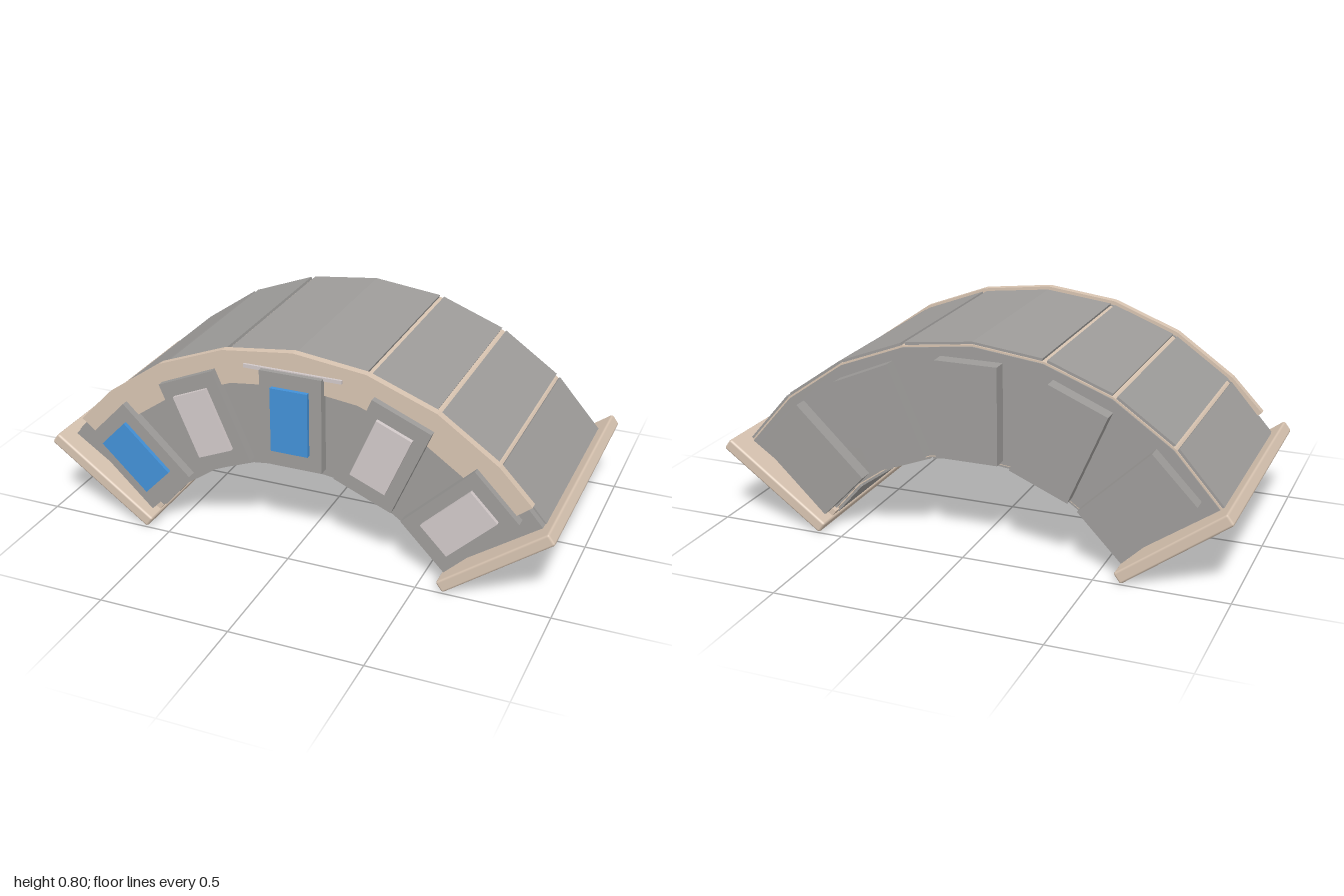
import * as THREE from 'three';
import { RoundedBoxGeometry } from 'three/addons/geometries/RoundedBoxGeometry.js';

const CENTRE_Y = -0.33; // centre of the arch's curvature
const RAD = Math.PI / 180;

function material(name, color) {
  const m = new THREE.MeshStandardMaterial({ color });
  m.name = name;
  return m;
}

// Faceted ring sector: angles are degrees from straight up, towards +x
function sector(inner, outer, angles, z0, z1) {
  const point = (r, a) => new THREE.Vector2(r * Math.sin(a * RAD), CENTRE_Y + r * Math.cos(a * RAD));
  const outline = [
    ...angles.map((a) => point(outer, a)),
    ...[...angles].reverse().map((a) => point(inner, a)),
  ];
  const geo = new THREE.ExtrudeGeometry(new THREE.Shape(outline), { depth: z1 - z0, bevelEnabled: false });
  return geo.translate(0, 0, z0);
}

export function createModel() {
  const tan = material('tan trim', 0xd8c4b1);
  const grey = material('grey panel', 0x9e9c9a);
  const pale = material('pale window', 0xd2c9c9);
  const blue = material('blue window', 0x4391d8);

  const model = new THREE.Group();
  model.name = 'archSegment';
  function add(name, geometry, mat, parent = model) {
    const mesh = new THREE.Mesh(geometry, mat);
    mesh.name = name;
    parent.add(mesh);
    return mesh;
  }

  // Tan core that shows in the seams between the panels
  const END = 55.3;
  const full = [-END, -42, -28, -14, 0, 14, 28, 42, END];
  add('core', sector(0.7, 1.129, full, -0.395, 0.395), tan);

  // Outer skin and inner lining, split at the seams
  const spans = [[-END, -42], [-42, -28], [-28, -14], [-14, 0, 14], [14, 28], [28, 42], [42, END]];
  const gap = 0.45;
  for (const span of spans) {
    const angles = span.map((a, i) => {
      if (Math.abs(a) === END || (i > 0 && i < span.length - 1)) return a;
      return i === 0 ? a + gap : a - gap;
    });
    add('outerPanel', sector(1.12, 1.138, angles, -0.39, 0.39), grey);
    add('innerPanel', sector(0.69, 0.706, angles, -0.39, 0.39), grey);
  }

  // End walls and the raised front rim
  add('frontWall', sector(0.695, 1.132, full, 0.39, 0.418), grey);
  add('backWall', sector(0.705, 1.122, full, -0.4, -0.39), grey);
  add('frontRim', sector(1.02, 1.148, [-51, -42, -28, -14, 0, 14, 28, 42, 51], 0.4, 0.43), tan);

  // Window modules on the front, plain blocks on the back
  for (let i = -2; i <= 2; i++) {
    const module = new THREE.Group();
    module.name = 'windowModule';
    module.position.y = CENTRE_Y;
    module.rotation.z = -i * 23 * RAD;
    model.add(module);
    add('frontBlock', new THREE.BoxGeometry(0.24, 0.37, 0.067), grey, module).position.set(0, 0.89, 0.4235);
    add('backBlock', new THREE.BoxGeometry(0.24, 0.37, 0.067), grey, module).position.set(0, 0.89, -0.4235);
    const glass = i === 0 || i === -2 ? blue : pale;
    add('window', new THREE.BoxGeometry(0.145, 0.25, 0.018), glass, module).position.set(0, 0.894, 0.464);
  }

  // Thin bar above the middle window
  add('topBar', new THREE.BoxGeometry(0.38, 0.014, 0.014), pale).position.set(0, 0.742, 0.432);

  // Sloping end plates with a small inner lip
  for (const side of [-1, 1]) {
    const end = new THREE.Group();
    end.name = side > 0 ? 'leftEnd' : 'rightEnd';
    end.position.set(side * 0.784, 0.175, 0);
    end.rotation.z = side * 36.3 * RAD;
    model.add(end);
    add('endPlate', new RoundedBoxGeometry(0.492, 0.048, 0.99, 1, 0.009), tan, end);
    add('innerLip', new THREE.BoxGeometry(0.03, 0.03, 0.84), tan, end).position.set(-side * 0.222, 0.035, 0);
  }
  return model;
}
